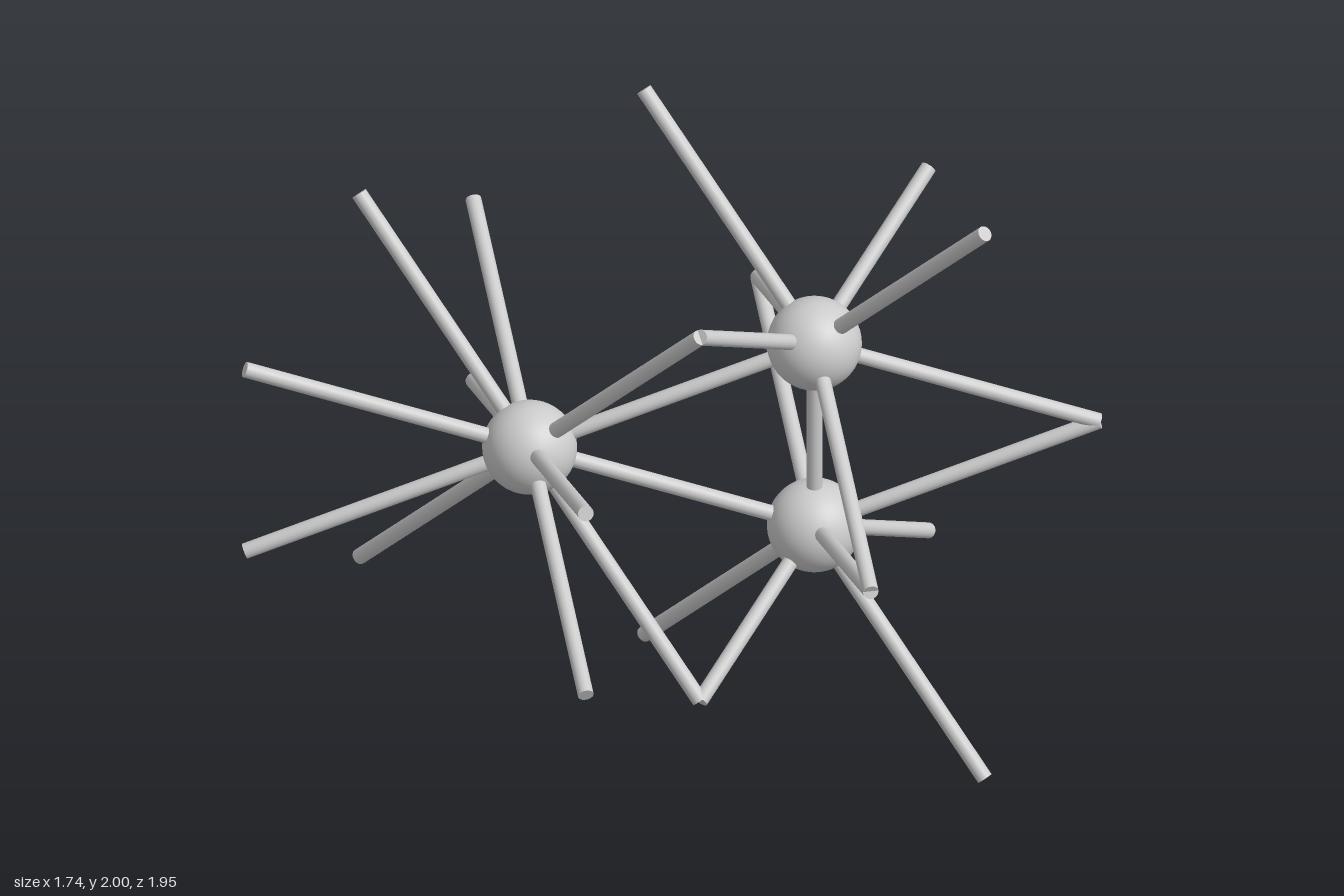
import * as THREE from 'three';

// Lattice steps between neighbouring atoms
const SX = 0.567, SY = 0.655, SZ = 0.637;
const ATOM_RADIUS = 0.142, BOND_RADIUS = 0.024;

const material = new THREE.MeshStandardMaterial({ color: 0xcccccc });

// Round bar between two points
function bond(a, b) {
  const dir = b.clone().sub(a);
  const mesh = new THREE.Mesh(
    new THREE.CylinderGeometry(BOND_RADIUS, BOND_RADIUS, dir.length(), 16), material);
  mesh.position.copy(a).add(b).multiplyScalar(0.5);
  mesh.quaternion.setFromUnitVectors(new THREE.Vector3(0, 1, 0), dir.normalize());
  mesh.name = 'bond';
  return mesh;
}

// Atom of a flat honeycomb layer: up = 1 or -1 is the side its outer bonds lean to
function layerSteps(up) {
  const steps = [[0, -up * SY, 0]];
  for (const s of [-1, 1]) {
    steps.push([s * SX, up * SY / 2, 0], [0, up * SY, s * SZ]);
    for (const t of [-1, 1]) steps.push([s * SX, -up * SY / 2, t * SZ]);
  }
  return steps;
}

// Atom between two layers: six bonds forward and six back
function betweenSteps() {
  const steps = [];
  for (const z of [-SZ, SZ]) for (const y of [-1, 1]) {
    steps.push([0, y * SY, z]);
    for (const x of [-SX, SX]) steps.push([x, y * SY / 2, z]);
  }
  return steps;
}

export function createModel() {
  const model = new THREE.Group();
  model.name = 'crystalCell';

  const atoms = [
    { name: 'upperAtom', at: [SX / 2, 1 + SY / 2, SZ / 2], steps: layerSteps(1) },
    { name: 'lowerAtom', at: [SX / 2, 1 - SY / 2, SZ / 2], steps: layerSteps(-1) },
    { name: 'rearAtom', at: [-SX / 2, 1, -SZ / 2], steps: betweenSteps() },
  ];
  const done = [];

  for (const { name, at, steps } of atoms) {
    const group = new THREE.Group();
    group.name = name;
    const centre = new THREE.Vector3(...at);

    const ball = new THREE.Mesh(new THREE.SphereGeometry(ATOM_RADIUS, 40, 28), material);
    ball.position.copy(centre);
    ball.name = 'atom';
    group.add(ball);

    for (const step of steps) {
      const end = new THREE.Vector3(...step).add(centre);
      // A bond to an earlier atom already exists
      if (done.some((p) => p.distanceTo(end) < 0.01)) continue;
      group.add(bond(centre, end));
    }
    done.push(centre);
    model.add(group);
  }
  return model;
}
